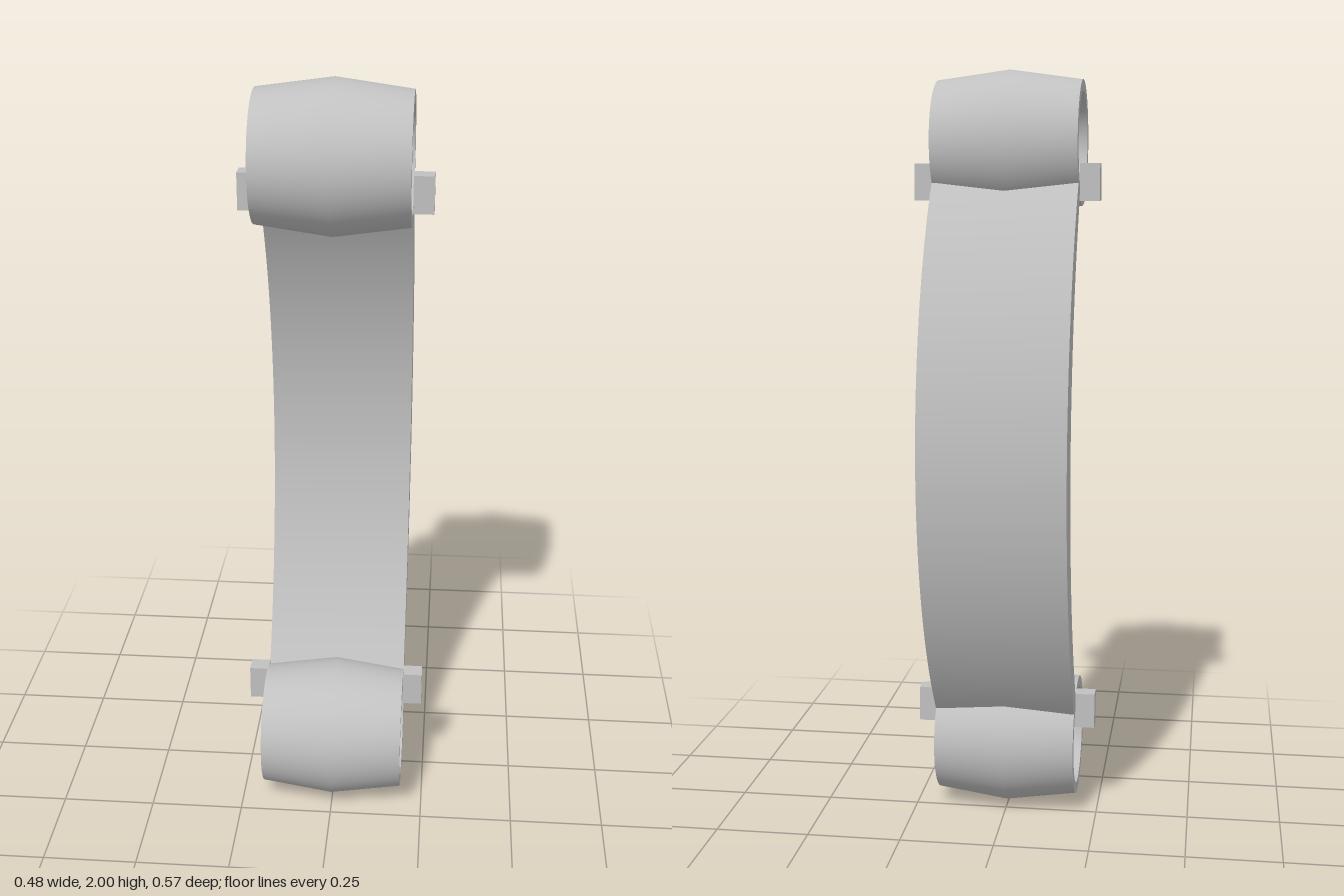
import * as THREE from 'three';
import { toCreasedNormals } from 'three/addons/utils/BufferGeometryUtils.js';

const HALF = 0.19;                 // half width of arm and sleeves
const MID_Y = 1, SLEEVE_Z = 0.097, SLEEVE_DY = 0.812;

// Circular arc through (-end, z) tips and a middle point, sampled bottom to top
function arcPoints(tipZ, tipDy, midZ, n = 40) {
  const sag = tipZ - midZ;
  const r = (tipDy * tipDy + sag * sag) / (2 * sag);
  const a = Math.asin(tipDy / r);
  return Array.from({ length: n + 1 }, (_, i) => {
    const t = -a + (2 * a * i) / n;
    const z = midZ + r - r * Math.cos(t);
    return new THREE.Vector2(-z, MID_Y + r * Math.sin(t));
  });
}

export function createModel() {
  const model = new THREE.Group();
  const grey = new THREE.MeshStandardMaterial({ color: 0xc0c0c0 });
  grey.name = 'grey metal';

  const add = (name, geometry, x = 0, y = 0, z = 0) => {
    const mesh = new THREE.Mesh(geometry, grey);
    mesh.name = name;
    mesh.position.set(x, y, z);
    model.add(mesh);
  };

  // Bowed arm, thicker in the middle than at its tips
  const outline = [
    ...arcPoints(-0.03, 0.71, -0.288),
    ...arcPoints(0.018, 0.682, -0.19).reverse(),
  ];
  const arm = new THREE.ExtrudeGeometry(new THREE.Shape(outline), {
    depth: HALF * 2, bevelEnabled: false,
  });
  arm.translate(0, 0, -HALF).rotateY(Math.PI / 2);
  add('curvedArm', toCreasedNormals(arm, 0.5));

  // Barrel sleeve: bulging outside, bore narrowing to the middle
  const profile = [
    [0.133, -HALF], [0.162, -HALF], [0.188, 0], [0.162, HALF],
    [0.133, HALF], [0.101, 0], [0.133, -HALF],
  ].map(([r, y]) => new THREE.Vector2(r, y));
  const sleeve = toCreasedNormals(
    new THREE.LatheGeometry(profile, 64).rotateZ(Math.PI / 2), 0.6);

  // Small stop tab standing out from each sleeve end
  const tab = new THREE.BoxGeometry(0.052, 0.095, 0.047);

  for (const [place, s] of [['upper', 1], ['lower', -1]]) {
    add(place + 'Sleeve', sleeve, 0, MID_Y + s * SLEEVE_DY, SLEEVE_Z);
    for (const [side, sx] of [['Left', 1], ['Right', -1]]) {
      add(place + side + 'Tab', tab, sx * (HALF + 0.026), MID_Y + s * 0.712, 0.032);
    }
  }
  return model;
}
